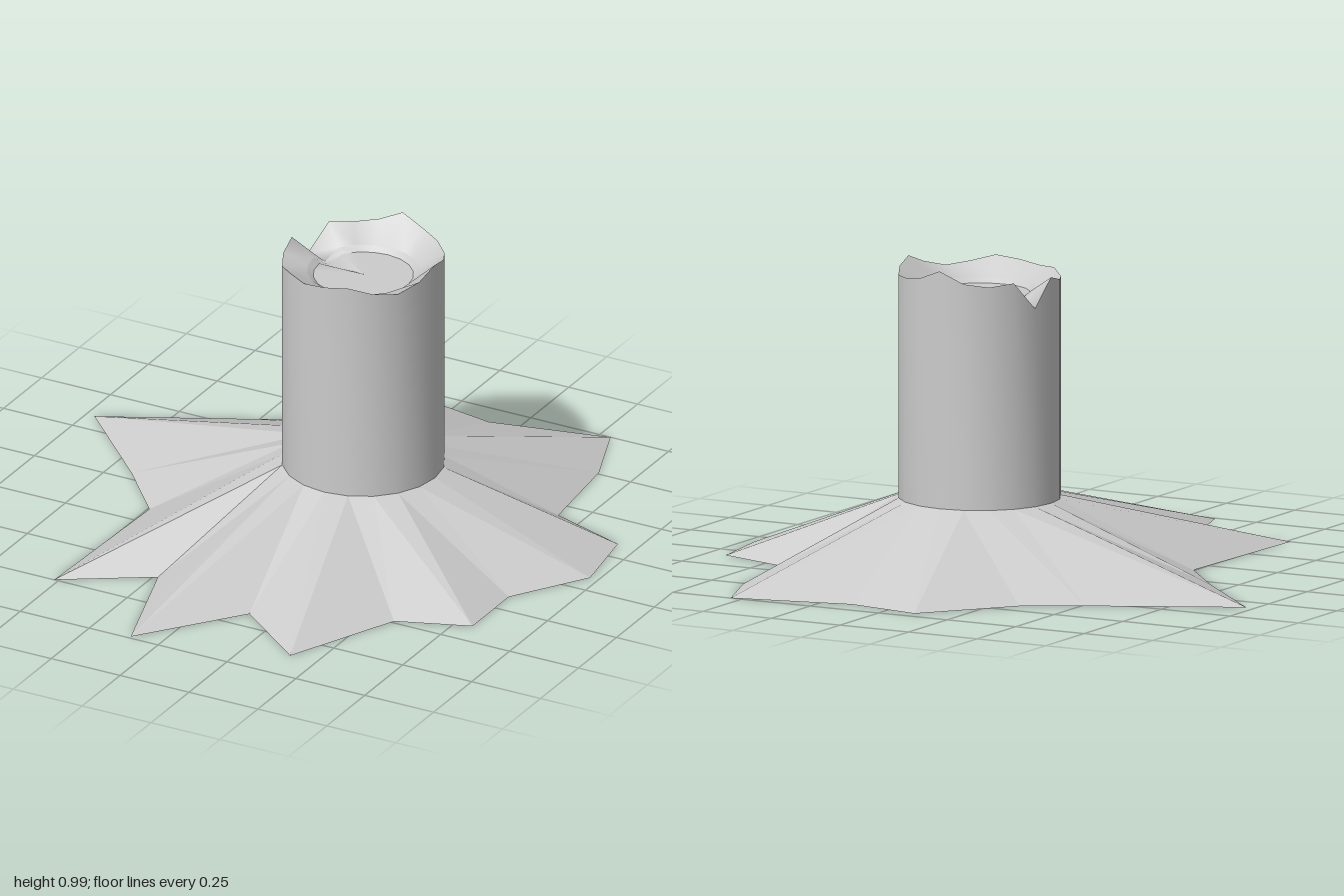
import * as THREE from 'three';

const SIDES = 20, CX = 0.147, CZ = -0.085, R = 0.26;

// Ring of points around the trunk axis; height is a number or a function of the index
function ring(radius, height) {
  return Array.from({ length: SIDES }, (_, i) => {
    const a = (i / SIDES) * Math.PI * 2;
    const y = typeof height === 'function' ? height(i) : height;
    return [CX + radius * Math.cos(a), y, CZ + radius * Math.sin(a)];
  });
}

// Skin joining successive closed rings
function loft(name, rings, flat) {
  const index = [];
  for (let r = 0; r < rings.length - 1; r++) {
    for (let i = 0; i < SIDES; i++) {
      const a = r * SIDES + i, b = r * SIDES + (i + 1) % SIDES;
      index.push(a, a + SIDES, b + SIDES, a, b + SIDES, b);
    }
  }
  let geometry = new THREE.BufferGeometry();
  geometry.setAttribute('position', new THREE.Float32BufferAttribute(rings.flat(2), 3));
  geometry.setIndex(index);
  if (flat) geometry = geometry.toNonIndexed();
  geometry.computeVertexNormals();
  const mesh = new THREE.Mesh(geometry, new THREE.MeshStandardMaterial({
    color: 0xcccccc, flatShading: flat, side: THREE.DoubleSide,
  }));
  mesh.name = name;
  return mesh;
}

export function createModel() {
  const group = new THREE.Group();
  group.name = 'treeStump';

  // Irregular root outline on the ground (x, z), starting at the left side
  const outline = [
    [0.97, -0.085], [0.81, 0.16], [0.81, 0.4], [0.575, 0.49], [0.405, 0.865],
    [0.147, 0.665], [-0.105, 0.99], [-0.235, 0.575], [-0.515, 0.75], [-0.495, 0.16],
    [-0.67, -0.04], [-0.97, -0.34], [-0.51, -0.57], [-0.33, -0.675], [-0.105, -0.955],
    [0.147, -0.91], [0.54, -1], [0.63, -0.76], [0.665, -0.43], [0.93, -0.34],
  ].map(([x, z]) => [x, 0, z]);

  // Jagged break height around the trunk, with a deep notch at one point
  const breakHeights = [
    0.975, 0.945, 0.925, 0.935, 0.955, 0.945, 0.935, 0.94, 0.925, 0.93,
    0.95, 0.86, 0.95, 0.94, 0.95, 0.987, 0.955, 0.945, 0.94, 0.955,
  ];
  const NOTCH = 11;
  const rim = ring(R, i => breakHeights[i]);
  const lip = ring(0.18, i => (i === NOTCH ? 0.86 : 0.895));
  const edge = ring(0.16, i => (i === NOTCH ? 0.855 : 0.88));

  group.add(
    loft('underside', [ring(0, 0), outline], true),
    loft('roots', [outline, ring(R, 0.22)], true),
    loft('trunk', [ring(R, 0.22), rim], false),
    loft('brokenRim', [rim, lip], false),
    loft('heartwoodStep', [lip, edge], false),
    loft('heartwood', [edge, ring(0.001, 0.88)], false),
  );
  return group;
}
